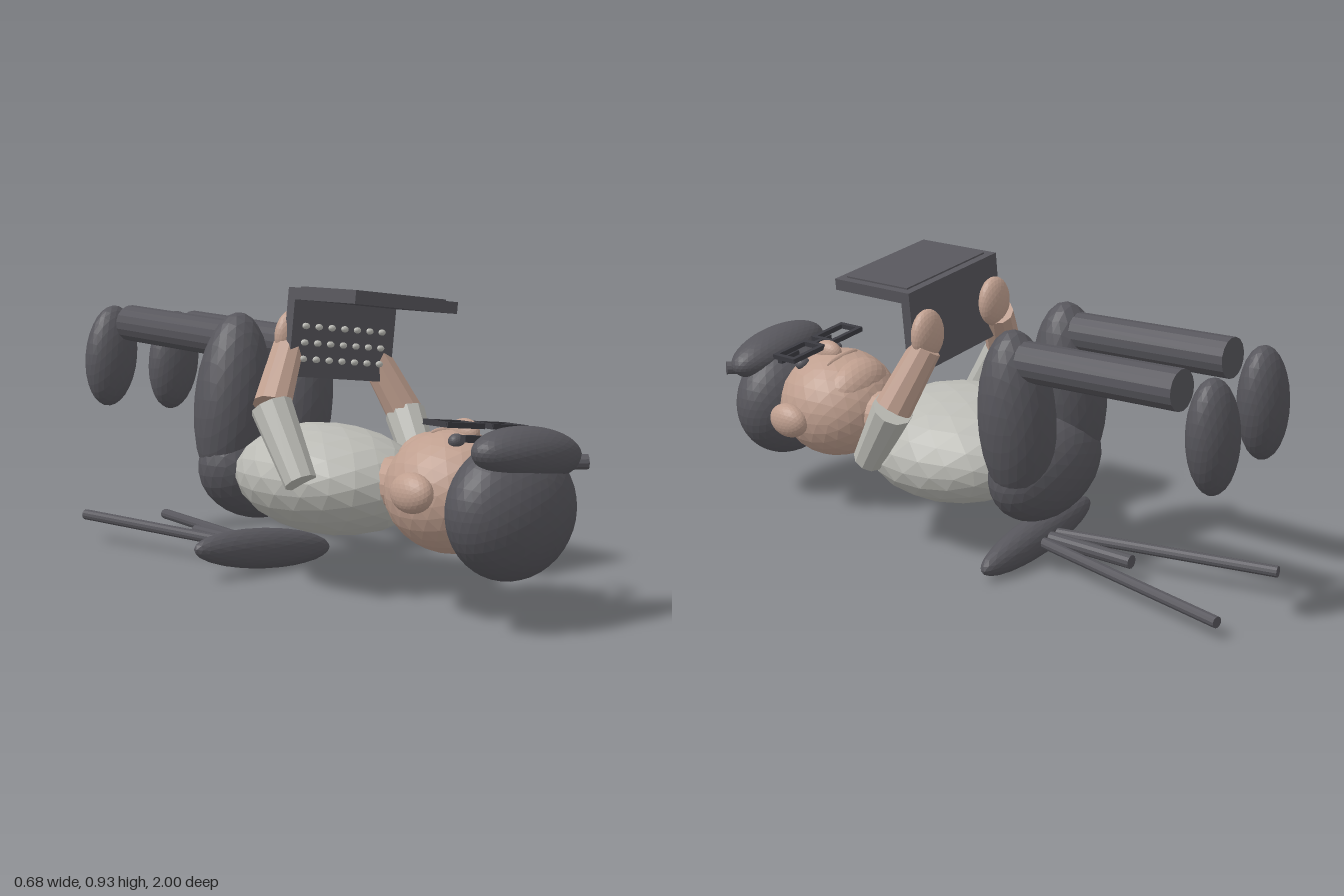
import * as THREE from 'three';

const mat = (name, color) => {
  const m = new THREE.MeshStandardMaterial({ color, flatShading: true });
  m.name = name;
  return m;
};

export function createModel() {
  const dark = mat('charcoal', 0x57565c);
  const skin = mat('skin', 0xbf9f8f);
  const shirt = mat('shirt grey', 0xbbbbb5);
  const black = mat('frame black', 0x3b3b41);

  const root = new THREE.Group();
  const body = new THREE.Group();
  body.name = 'recliningFigure';
  body.position.set(-0.0626, 0.0074, 0);
  body.rotation.z = -0.118;
  root.add(body);

  const add = (name, geo, m, pos = [0, 0, 0]) => {
    const mesh = new THREE.Mesh(geo, m);
    mesh.name = name;
    mesh.position.set(...pos);
    body.add(mesh);
    return mesh;
  };
  // faceted ellipsoid
  const blob = (name, m, pos, radii, detail = 4) =>
    add(name, new THREE.IcosahedronGeometry(1, detail).scale(...radii), m, pos);
  const box = (name, m, pos, size) => add(name, new THREE.BoxGeometry(...size), m, pos);
  // tapered rod from point a (radius ra) to point b (radius rb)
  const rod = (name, m, a, b, ra, rb = ra, sides = 12) => {
    const va = new THREE.Vector3(...a), vb = new THREE.Vector3(...b);
    const dir = vb.clone().sub(va);
    const mesh = add(name, new THREE.CylinderGeometry(rb, ra, dir.length(), sides), m);
    mesh.position.copy(va).lerp(vb, 0.5);
    mesh.quaternion.setFromUnitVectors(new THREE.Vector3(0, 1, 0), dir.normalize());
    return mesh;
  };

  // torso and head
  blob('torso', shirt, [0, 0.337, 0.105], [0.282, 0.174, 0.32], 3);
  blob('hips', dark, [0, 0.335, -0.237], [0.235, 0.17, 0.133]);
  rod('neck', skin, [0, 0.357, 0.34], [0, 0.357, 0.5], 0.08, 0.08, 16);
  blob('head', skin, [0, 0.365, 0.63], [0.2, 0.18, 0.2], 4);
  blob('chin', skin, [0, 0.44, 0.545], [0.13, 0.09, 0.085]);
  blob('mouth', skin, [0, 0.53, 0.595], [0.075, 0.018, 0.012], 3);
  blob('nose', skin, [0, 0.54, 0.655], [0.032, 0.04, 0.053]);

  // hair with a forward roll and a side stud
  blob('hair', dark, [0, 0.343, 0.862], [0.226, 0.2, 0.138], 6);
  blob('hairRoll', dark, [0, 0.505, 0.9], [0.206, 0.078, 0.09], 6);
  rod('hairStud', dark, [0.155, 0.487, 0.925], [0.195, 0.493, 0.955], 0.022);

  // mirrored parts
  for (const s of [-1, 1]) {
    const side = s > 0 ? 'left' : 'right';
    blob(side + 'Ear', skin, [s * 0.205, 0.365, 0.67], [0.045, 0.058, 0.075]);
    blob(side + 'Eye', dark, [s * 0.08, 0.517, 0.703], [0.026, 0.022, 0.022], 3);
    box(side + 'Eyebrow', black, [s * 0.08, 0.53, 0.767], [0.084, 0.02, 0.02]);

    // spectacle rim
    for (const z of [0.658, 0.74])
      box(side + 'RimBar', black, [s * 0.092, 0.565, z], [0.15, 0.016, 0.016]);
    for (const x of [0.024, 0.16])
      box(side + 'RimPost', black, [s * x, 0.565, 0.699], [0.016, 0.016, 0.09]);

    // arm
    const elbow = [s * 0.278, 0.552, 0.122];
    rod(side + 'Sleeve', shirt, [s * 0.262, 0.342, 0.265], elbow, 0.05, 0.065, 10);
    rod(side + 'Forearm', skin, elbow, [s * 0.178, 0.729, 0.055], 0.059, 0.049, 10);
    blob(side + 'Hand', skin, [s * 0.164, 0.768, 0.056], [0.066, 0.08, 0.036]);

    // leg
    blob(side + 'Thigh', dark, [s * 0.133, 0.54, -0.245], [0.128, 0.285, 0.112]);
    rod(side + 'Shin', dark, [s * 0.134, 0.735, -0.25], [s * 0.134, 0.755, -0.836], 0.061, 0.061, 16);
    blob(side + 'Foot', dark, [s * 0.135, 0.635, -0.933], [0.098, 0.175, 0.067]);

    // stool leg
    rod(side + 'StoolLeg', dark, [s * 0.03, 0.075, -0.2], [s * 0.173, 0.075, -0.955], 0.018);
  }
  box('spectacleBridge', black, [0, 0.565, 0.7], [0.05, 0.014, 0.014]);

  // stool
  blob('stoolSeat', dark, [0, 0.073, -0.185], [0.282, 0.066, 0.057]);
  rod('stoolColumn', dark, [0, 0.075, -0.2], [0, 0.075, -0.545], 0.022);

  // open portable computer
  box('keyboardPlate', dark, [0.003, 0.779, 0.088], [0.424, 0.268, 0.033]);
  box('screenPlate', dark, [0.003, 0.895, 0.238], [0.424, 0.036, 0.268]);
  box('screenPanel', dark, [0.003, 0.914, 0.222], [0.374, 0.008, 0.246]);
  for (let r = 0; r < 3; r++)
    for (let k = -3; k <= 3; k++)
      blob('key', shirt, [0.002 + k * 0.053, 0.8 - r * 0.05, 0.106], [0.014, 0.01, 0.009], 2);

  return root;
}
